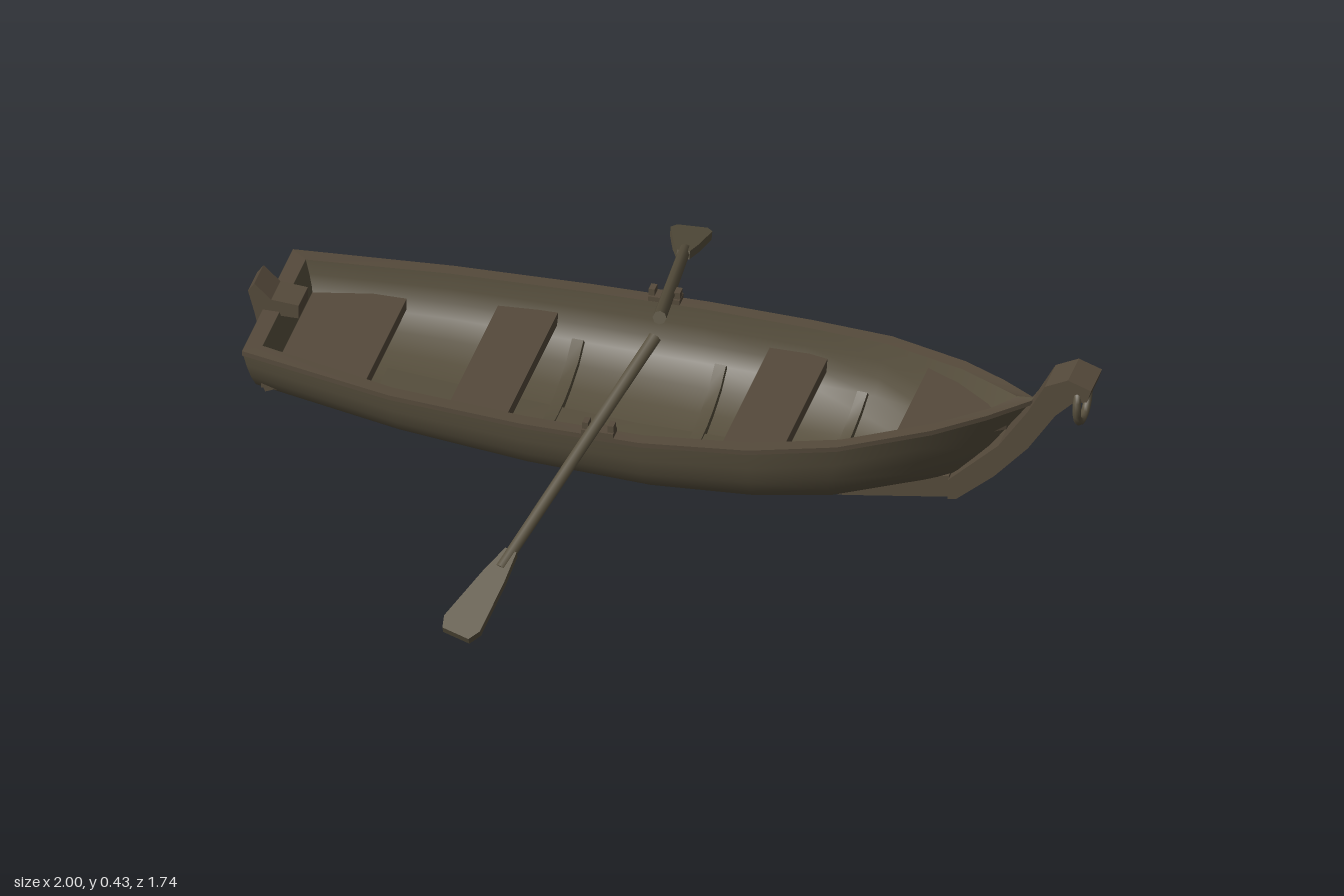
import * as THREE from 'three';
import { toCreasedNormals } from 'three/addons/utils/BufferGeometryUtils.js';

const ZC = 0.022; // centre line of the boat
const hullMat = new THREE.MeshStandardMaterial({ name: 'olive wood', color: 0x574f3d, side: THREE.DoubleSide });
const trimMat = new THREE.MeshStandardMaterial({ name: 'brown wood', color: 0x554a3b, side: THREE.DoubleSide });

// Stations: rim x, rim y, half width, bottom x, bottom y
const stations = [
  [-0.965, 0.29, 0.22, -0.925, 0.12], [-0.6, 0.27, 0.28, -0.58, 0.085], [-0.28, 0.262, 0.302, -0.28, 0.055],
  [0, 0.26, 0.305, 0, 0.04], [0.25, 0.268, 0.282, 0.24, 0.043], [0.45, 0.285, 0.24, 0.41, 0.055],
  [0.65, 0.308, 0.15, 0.56, 0.08], [0.76, 0.322, 0.078, 0.63, 0.09], [0.85, 0.335, 0.006, 0.68, 0.1],
];
// Half cross-section: fraction of width, fraction of height
const half = [[0, 0], [0.22, 0.02], [0.43, 0.08], [0.68, 0.2], [0.86, 0.38], [0.94, 0.56], [0.98, 0.76], [1, 1]];
const profile = [...half.slice(1).reverse().map(([f, t]) => [-f, t]), ...half];

// One cross-section of the hull, optionally inset for the inside
function section([rx, ry, w, bx, by], inset = 0, lift = inset * 0.7, limit = 1) {
  const hw = Math.max(w - inset, 0.002);
  return profile.filter(([f]) => Math.abs(f) <= limit).map(([f, t]) => {
    const y0 = by + lift;
    return [bx + (rx - bx) * t, y0 + (ry - y0) * t, ZC + f * hw];
  });
}

function stationAt(x) {
  let i = 0;
  while (i < stations.length - 2 && stations[i + 1][0] < x) i++;
  const a = stations[i], b = stations[i + 1], k = (x - a[0]) / (b[0] - a[0]);
  return a.map((v, j) => v + (b[j] - v) * k);
}

// Skin over rows of points
function loft(rows, crease = 0.7) {
  const n = rows[0].length, index = [];
  for (let r = 0; r < rows.length - 1; r++) {
    for (let c = 0; c < n - 1; c++) {
      const a = r * n + c, b = a + n;
      index.push(a, b, a + 1, b, b + 1, a + 1);
    }
  }
  const g = new THREE.BufferGeometry();
  g.setAttribute('position', new THREE.Float32BufferAttribute(rows.flat(2), 3));
  g.setIndex(index);
  return toCreasedNormals(g, crease);
}

// Flat outline in x-y, given thickness centred on z
function slab(points, depth) {
  const shape = new THREE.Shape(points.map(([x, y]) => new THREE.Vector2(x, y)));
  return new THREE.ExtrudeGeometry(shape, { depth, bevelEnabled: false }).translate(0, 0, -depth / 2);
}

export function createModel() {
  const boat = new THREE.Group();
  boat.name = 'rowingBoat';
  const add = (name, geometry, material, x = 0, y = 0, z = 0, parent = boat) => {
    const m = new THREE.Mesh(geometry, material);
    m.name = name;
    m.position.set(x, y, z);
    parent.add(m);
    return m;
  };

  // Hull shells
  const inside = stations.map(([rx, ry, w, bx, by], i) =>
    i === 0 ? [rx + 0.04, ry, w, bx + 0.04, by] : i === stations.length - 1 ? [rx - 0.04, ry, w, bx - 0.03, by] : [rx, ry, w, bx, by]);
  const outer = stations.map(s => section(s));
  const inner = inside.map(s => section(s, 0.034));
  add('outerHull', loft(outer), hullMat);
  add('innerHull', loft(inner.map(r => [...r].reverse())), hullMat);

  // Gunwale and stern top edge
  for (const [name, pick] of [['rightGunwale', r => r[0]], ['leftGunwale', r => r[r.length - 1]]]) {
    const lowered = p => [p[0], p[1] - 0.012, p[2]];
    add(name, loft(outer.map((r, i) => [lowered(pick(r)), pick(r), pick(inner[i]), lowered(pick(inner[i]))])), trimMat);
  }
  add('sternTopEdge', loft([outer[0], inner[0]].map(r => [r[0], r[r.length - 1]])), trimMat);

  // Transom, outside and inside faces
  for (const [name, row] of [['transom', outer[0]], ['transomInside', inner[0]]]) {
    add(name, loft([row, row.map(p => [row[0][0], row[0][1], p[2]])]), hullMat);
  }

  // Keel, curved stem with its head, and stern post
  add('keel', slab([
    [-0.96, 0.065], [-0.895, 0.092], [-0.6, 0.055], [-0.3, 0.028], [0, 0.01], [0.2, 0.012], [0.41, 0.02], [0.67, 0.06],
    [0.66, 0.115], [0.41, 0.065], [0, 0.05], [-0.3, 0.065], [-0.6, 0.095], [-0.92, 0.14], [-0.975, 0.1],
  ], 0.075), trimMat, 0, 0, ZC);
  add('stem', slab([
    [0.66, 0.058], [0.68, 0.062], [0.77, 0.14], [0.85, 0.23], [0.915, 0.33], [0.955, 0.37], [0.99, 0.38], [1, 0.412],
    [0.945, 0.432], [0.89, 0.405], [0.85, 0.33], [0.78, 0.225], [0.66, 0.11],
  ], 0.095), trimMat, 0, 0, ZC);
  add('sternPost', slab([
    [-0.945, 0.1], [-0.915, 0.13], [-0.945, 0.28], [-0.88, 0.28], [-0.88, 0.315], [-0.945, 0.32],
    [-0.985, 0.357], [-1, 0.335], [-0.985, 0.28],
  ], 0.08), trimMat, 0, 0, ZC);

  // Mooring ring hanging from the stem head
  const ring = add('mooringRing', new THREE.TorusGeometry(0.053, 0.01, 8, 20), hullMat, 0.967, 0.357, ZC);
  ring.rotation.set(0, Math.PI / 2, 0.28);

  // Thwarts and stern bench
  for (const [name, x0, x1, y, w] of [
    ['sternBench', -0.925, -0.69, 0.215, 0.4], ['rearThwart', -0.485, -0.345, 0.205, 0.5], ['frontThwart', 0.16, 0.3, 0.205, 0.475],
  ]) {
    add(name, new THREE.BoxGeometry(x1 - x0, 0.03, w), trimMat, (x0 + x1) / 2, y - 0.015, ZC);
  }
  const deck = slab([[0.56, -0.15], [0.65, -0.105], [0.79, -0.012], [0.79, 0.012], [0.65, 0.105], [0.56, 0.15]], 0.025);
  add('bowSeat', deck.rotateX(Math.PI / 2), trimMat, 0, 0.262, ZC);

  // Floor board along the keel line
  const boardRows = [-0.69, -0.4, -0.1, 0.2, 0.4, 0.52].map(x => {
    const y = stationAt(x)[4] + 0.024;
    return [[x, y, ZC - 0.037], [x, y + 0.012, ZC - 0.037], [x, y + 0.012, ZC + 0.037], [x, y, ZC + 0.037]];
  });
  add('floorBoard', loft(boardRows), hullMat);

  // Ribs following the inside of the hull
  for (const x of [-0.29, 0.05, 0.42]) {
    const row = (dx, rise) => section(stationAt(x + dx), 0.034 + rise, 0.024 + rise * 1.6, 0.9);
    add('rib', loft([row(-0.014, 0), row(-0.014, 0.012), row(0.014, 0.012), row(0.014, 0)], 0.5), hullMat);
  }

  // Oars with tapered blades, and their rowlocks
  const oar = (name, from, to) => {
    const a = new THREE.Vector3(...from), d = new THREE.Vector3(...to).sub(a);
    const len = d.length();
    d.normalize();
    const w = new THREE.Vector3(1, 0, 0).addScaledVector(d, -d.x).normalize();
    const g = new THREE.Group();
    g.name = name;
    g.position.copy(a);
    g.quaternion.setFromRotationMatrix(new THREE.Matrix4().makeBasis(w, d, w.clone().cross(d)));
    const s = len - 0.2;
    add('shaft', new THREE.CylinderGeometry(0.014, 0.016, s, 8), hullMat, 0, s / 2, 0, g);
    add('blade', slab([
      [-0.015, len - 0.25], [0.015, len - 0.25], [0.03, len - 0.17], [0.048, len - 0.03], [0.035, len],
      [-0.035, len], [-0.048, len - 0.03], [-0.03, len - 0.17],
    ], 0.02), hullMat, 0, 0, 0, g);
    boat.add(g);
  };
  oar('leftSideOar', [-0.03, 0.39, 0.085], [-0.29, 0.018, 0.855]);
  oar('rightSideOar', [-0.05, 0.368, -0.03], [-0.2, 0.055, -0.86]);
  for (const side of [-1, 1]) {
    const z = ZC + side * 0.288;
    add('rowlockBase', new THREE.BoxGeometry(0.075, 0.016, 0.035), trimMat, -0.1, 0.265, z);
    for (const dx of [-0.03, 0.03]) add('rowlockPin', new THREE.BoxGeometry(0.014, 0.03, 0.024), trimMat, -0.1 + dx, 0.275, z);
  }
  return boat;
}
